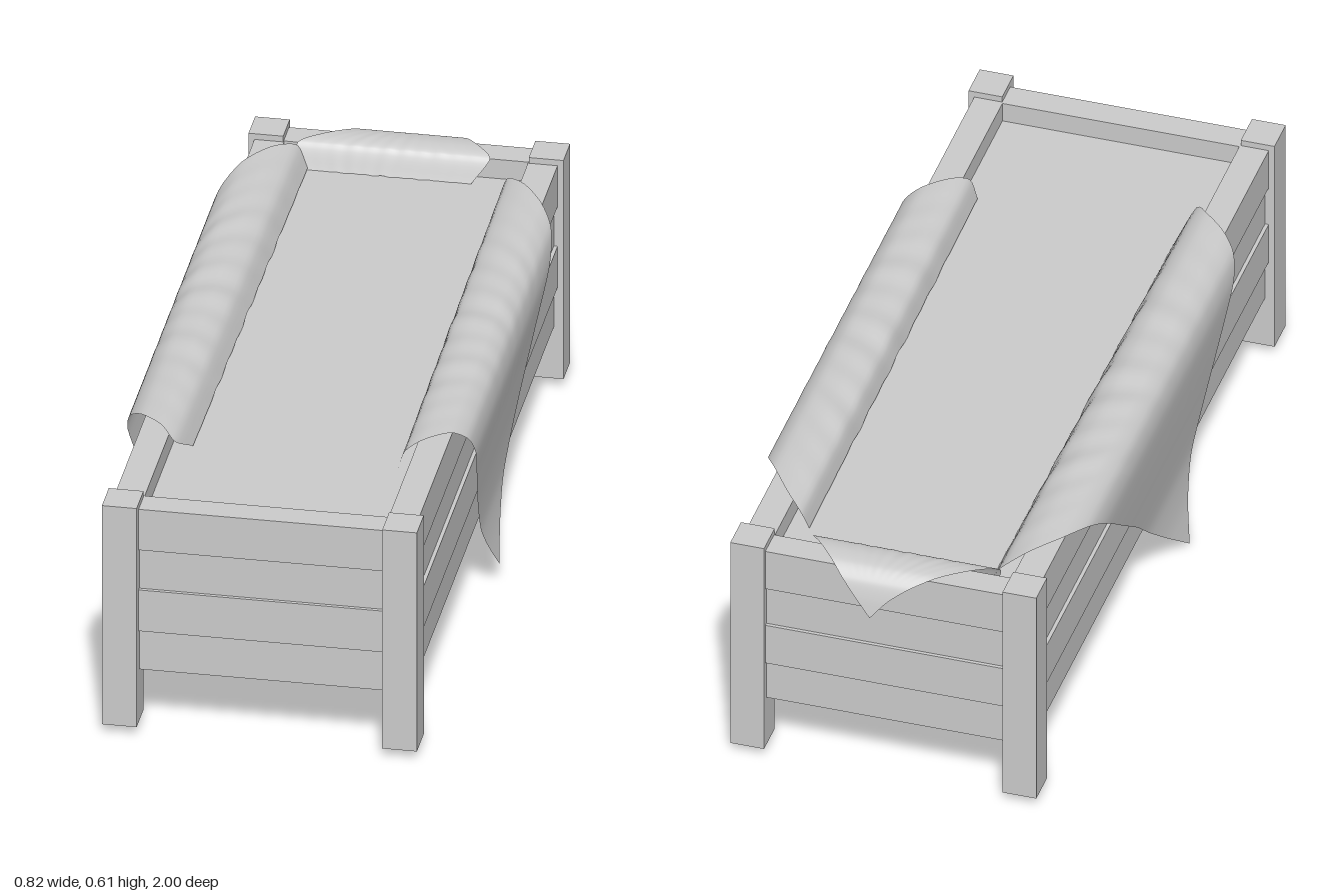
import * as THREE from 'three';

const grey = new THREE.MeshStandardMaterial({ color: 0xcccccc });
const clothMat = new THREE.MeshStandardMaterial({ color: 0xcccccc, side: THREE.DoubleSide });

// Box given by its min and max corners
function box(parent, name, [x0, y0, z0], [x1, y1, z1]) {
  const mesh = new THREE.Mesh(new THREE.BoxGeometry(x1 - x0, y1 - y0, z1 - z0), grey);
  mesh.position.set((x0 + x1) / 2, (y0 + y1) / 2, (z0 + z1) / 2);
  mesh.name = name;
  parent.add(mesh);
}

// Cloth strip lofted between two edge curves, with faint wrinkles across the top
function drape(name, edgeA, edgeB, ripple) {
  const curve = (pts) => new THREE.CatmullRomCurve3(pts.map((p) => new THREE.Vector3(...p)), false, 'catmullrom', 0.4);
  const a = curve(edgeA), b = curve(edgeB);
  const rows = 40, cols = 60;
  const geo = new THREE.PlaneGeometry(1, 1, cols, rows);
  const pos = geo.attributes.position;
  const p = new THREE.Vector3();
  for (let j = 0, k = 0; j <= rows; j++) {
    const t = j / rows, pa = a.getPoint(t), pb = b.getPoint(t);
    for (let i = 0; i <= cols; i++, k++) {
      const s = i / cols;
      p.lerpVectors(pa, pb, s);
      const w = ripple * Math.sin(Math.PI * s) * Math.max(0, 1 - 1.6 * t);
      p.y += w * (Math.sin(s * 70) + 0.6 * Math.sin(s * 43 + 5 * t));
      pos.setXYZ(k, p.x, p.y, p.z);
    }
  }
  geo.computeVertexNormals();
  const mesh = new THREE.Mesh(geo, clothMat);
  mesh.name = name;
  return mesh;
}

export function createModel() {
  const model = new THREE.Group();
  model.name = 'drapedPlanter';

  // Corner posts
  const posts = new THREE.Group();
  posts.name = 'posts';
  for (const s of [-1, 1]) {
    for (const [z0, z1] of [[0.912, 1.0], [-0.957, -0.873]]) {
      box(posts, 'post', [s * 0.331 - 0.041, 0.025, z0], [s * 0.331 + 0.041, 0.6, z1]);
    }
  }
  model.add(posts);

  // Four stacked boards per wall, alternate ones set slightly back
  const walls = new THREE.Group();
  walls.name = 'boardWalls';
  const levels = [0.16, 0.265, 0.373, 0.478, 0.585];
  for (let i = 0; i < 4; i++) {
    const y0 = levels[i], y1 = levels[i + 1];
    const out = i % 2 ? 0 : -0.009;
    box(walls, 'leftBoard', [0.288, y0, -0.875], [0.358 + out, y1, 0.913]);
    box(walls, 'rightBoard', [-0.358 - out, y0, -0.875], [-0.288, y1, 0.913]);
    box(walls, 'frontBoard', [-0.291, y0, 0.907], [0.291, y1, 0.975 + out]);
    box(walls, 'backBoard', [-0.291, y0, -0.947 - out], [0.291, y1, -0.878]);
  }
  model.add(walls);

  // Solid filling, closed underneath
  box(model, 'filling', [-0.288, 0.162, -0.88], [0.288, 0.535, 0.908]);

  // Side drapes: rows of [x, y, front z, back z] from the inside to the hanging tip
  const leftRows = [
    [0.25, 0.54, 0.59, -0.77], [0.268, 0.59, 0.59, -0.78], [0.305, 0.608, 0.56, -0.73],
    [0.36, 0.606, 0.51, -0.65], [0.397, 0.578, 0.48, -0.58], [0.408, 0.52, 0.44, -0.5],
    [0.397, 0.42, 0.37, -0.37], [0.384, 0.3, 0.285, -0.21], [0.378, 0.2, 0.215, -0.08],
    [0.386, 0.13, 0.165, 0.01], [0.402, 0.057, 0.11, 0.11],
  ];
  const rightRows = [
    [-0.238, 0.54, 0.56, -0.845], [-0.266, 0.59, 0.64, -0.855], [-0.305, 0.61, 0.6, -0.8],
    [-0.36, 0.606, 0.55, -0.72], [-0.397, 0.578, 0.51, -0.62], [-0.409, 0.52, 0.47, -0.52],
    [-0.398, 0.4, 0.39, -0.36], [-0.384, 0.28, 0.315, -0.2], [-0.375, 0.18, 0.25, -0.08],
    [-0.384, 0.09, 0.195, 0.03], [-0.405, 0.003, 0.14, 0.14],
  ];
  for (const [name, rows] of [['leftDrape', leftRows], ['rightDrape', rightRows]]) {
    // The inner hem leans a little further in towards the back
    const lean = (x, i) => x - (i < 2 ? Math.sign(x) * 0.012 : 0);
    model.add(drape(
      name,
      rows.map(([x, y, z]) => [x, y, z]),
      rows.map(([x, y, , z], i) => [lean(x, i), y, z]),
      0.0035,
    ));
  }

  // Short flap over the back wall: rows of [z, y, right x, left x]
  const backRows = [
    [-0.838, 0.536, -0.24, 0.16], [-0.862, 0.592, -0.255, 0.2], [-0.9, 0.603, -0.2, 0.17],
    [-0.945, 0.598, -0.13, 0.13], [-0.975, 0.573, -0.07, 0.095], [-0.99, 0.535, -0.02, 0.06],
    [-1.0, 0.488, 0.02, 0.02],
  ];
  model.add(drape(
    'backFlap',
    backRows.map(([z, y, x]) => [x, y, z]),
    backRows.map(([z, y, , x]) => [x, y, z]),
    0.001,
  ));

  return model;
}
